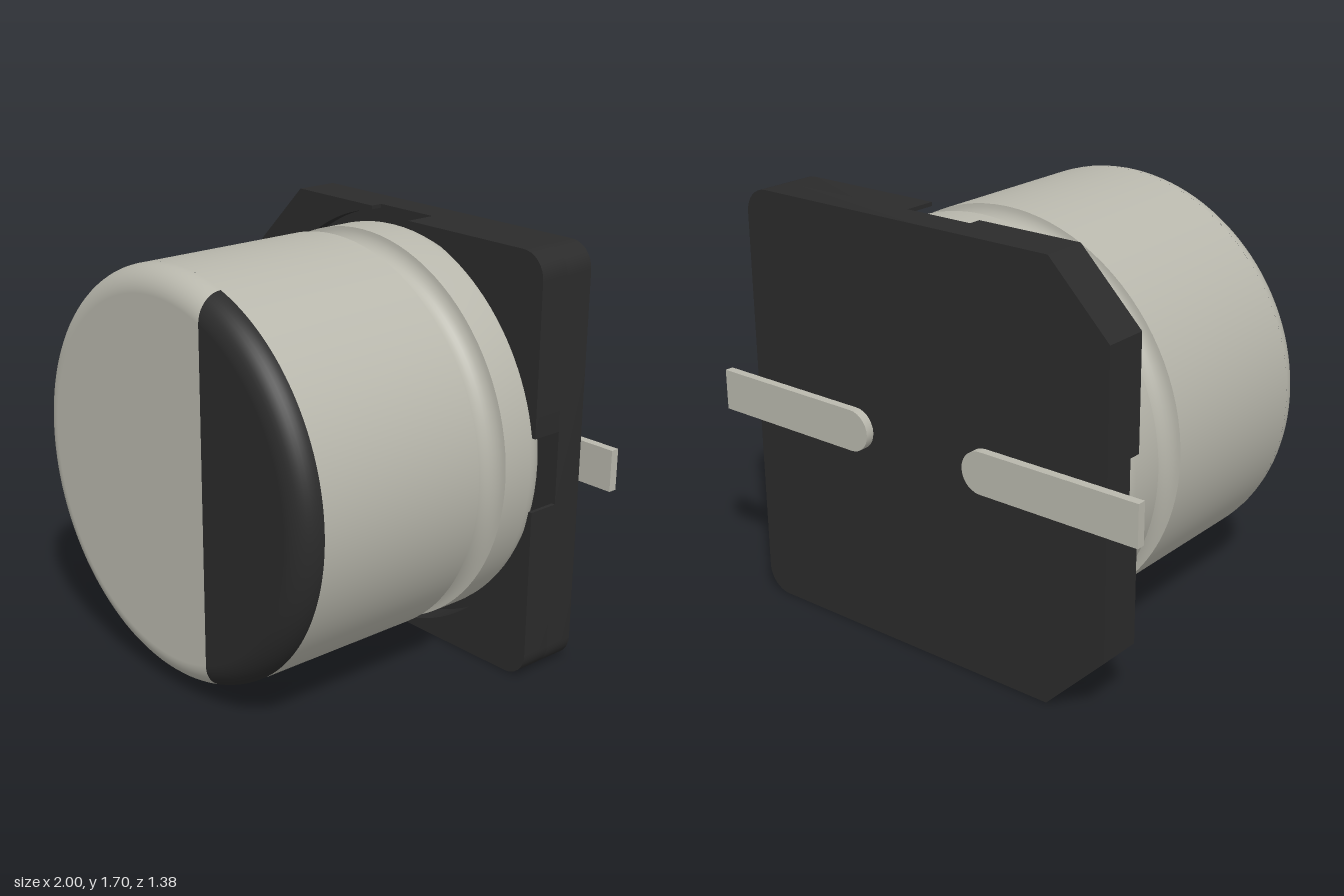
import * as THREE from 'three';
import { toCreasedNormals } from 'three/addons/utils/BufferGeometryUtils.js';

const H = 0.8475;      // half width of the square base
const R = 0.805;       // can radius
const F = 0.1;         // can edge fillet
const FRONT = 0.69;    // front face of the can
const FLOOR = -0.53;   // top of the base floor
const BACK = -0.66;    // rear of the base
const MARK = 0.25;     // where the polarity mark starts in x

const metal = new THREE.MeshStandardMaterial({ color: 0xb9b8ad });
metal.name = 'aluminium';
const dark = new THREE.MeshStandardMaterial({ color: 0x2b2b2b });
dark.name = 'black plastic';

// Points on an arc, both ends included
function arc(cx, cy, r, a0, a1, n) {
  return Array.from({ length: n + 1 }, (_, i) => {
    const a = a0 + (a1 - a0) * i / n;
    return new THREE.Vector2(cx + r * Math.cos(a), cy + r * Math.sin(a));
  });
}

function mesh(name, geometry, material) {
  const m = new THREE.Mesh(geometry, material);
  m.name = name;
  return m;
}

// Extrude an outline in xy between two z levels
function slab(points, z0, z1) {
  const g = new THREE.ExtrudeGeometry(new THREE.Shape(points), { depth: z1 - z0, bevelEnabled: false });
  g.translate(0, 0, z0);
  return toCreasedNormals(g, 0.5);
}

// Outer corner of the base in the (+,+) quadrant: chamfered left, rounded right
function corner(sx) {
  return sx < 0
    ? [new THREE.Vector2(H, 0.59), new THREE.Vector2(0.59, H)]
    : arc(H - F, H - F, F, 0, Math.PI / 2, 8);
}
const flip = (pts, sx, sy) => pts.map(p => new THREE.Vector2(p.x * sx, p.y * sy));

// Front of the can, split along x = MARK into a plain and a marked side
function capSide(marked) {
  const rows = arc(R - F, FRONT - F, F, 0, Math.PI / 2, 10).map((p, i) => ({ r: p.x, z: p.y, t: i / 10 * Math.PI / 2 }));
  for (const r of [0.6, 0.5, 0.4, 0.33, 0.28, 0.26, MARK]) rows.push({ r, z: FRONT, t: Math.PI / 2 });
  if (!marked) rows.push({ r: 0, z: FRONT, t: Math.PI / 2 });
  const cols = 72;
  const g = new THREE.PlaneGeometry(1, 1, cols, rows.length - 1);
  const pos = g.attributes.position, nor = g.attributes.normal;
  rows.forEach(({ r, z, t }, j) => {
    const a = r > MARK ? Math.acos(MARK / r) : 0;
    const [a0, a1] = marked ? [-a, a] : [a, 2 * Math.PI - a];
    for (let i = 0; i <= cols; i++) {
      const k = j * (cols + 1) + i, u = a0 + (a1 - a0) * i / cols;
      pos.setXYZ(k, r * Math.cos(u), r * Math.sin(u), z);
      nor.setXYZ(k, Math.cos(t) * Math.cos(u), Math.cos(t) * Math.sin(u), Math.sin(t));
    }
  });
  // Rows run inward, so reverse the triangles to face outward
  const ix = g.index, tri = new THREE.Vector3(), e1 = new THREE.Vector3(), e2 = new THREE.Vector3();
  const A = new THREE.Vector3(), n = new THREE.Vector3();
  for (let i = 0; i < ix.count; i += 3) {
    const [a, b, c] = [ix.getX(i), ix.getX(i + 1), ix.getX(i + 2)];
    A.fromBufferAttribute(pos, a);
    e1.fromBufferAttribute(pos, b).sub(A);
    e2.fromBufferAttribute(pos, c).sub(A);
    n.fromBufferAttribute(nor, a);
    if (tri.crossVectors(e1, e2).dot(n) < 0) { ix.setX(i + 1, c); ix.setX(i + 2, b); }
  }
  return g;
}

export function createModel() {
  const model = new THREE.Group();
  model.name = 'capacitor';

  // Can: rounded rear edge, pinched groove, straight wall
  const profile = [
    new THREE.Vector2(0, FLOOR),
    ...arc(R - F, FLOOR + F, F, -Math.PI / 2, 0, 8),
    ...arc(R, -0.225, 0.07, -Math.PI / 2, -1.5 * Math.PI, 16),
    new THREE.Vector2(R, FRONT - F),
  ];
  const can = new THREE.LatheGeometry(profile, 96);
  can.rotateX(Math.PI / 2);
  model.add(mesh('can', toCreasedNormals(can, 0.5), metal));
  model.add(mesh('canFront', capSide(false), metal));
  model.add(mesh('polarityMark', capSide(true), dark));

  // Base floor
  const outline = [
    ...flip(corner(1), 1, 1),
    ...flip(corner(-1), -1, 1).reverse(),
    ...flip(corner(-1), -1, -1),
    ...flip(corner(1), 1, -1).reverse(),
  ];
  const base = new THREE.Group();
  base.name = 'base';
  base.add(mesh('baseFloor', slab(outline, BACK, FLOOR), dark));

  // Corner walls around the can, lower on the chamfered side
  const ring = 0.845, gap = 0.147, a = Math.asin(gap / ring);
  for (const sx of [-1, 1]) for (const sy of [-1, 1]) {
    const pts = [
      new THREE.Vector2(H, gap),
      ...corner(sx),
      new THREE.Vector2(gap, H),
      ...arc(0, 0, ring, Math.PI / 2 - a, a, 24),
    ];
    base.add(mesh('cornerWall', slab(flip(pts, sx, sy), FLOOR, sx < 0 ? -0.48 : -0.4), dark));
  }
  model.add(base);

  // Flat leads with rounded inner ends
  const w = 0.0825;
  for (const s of [-1, 1]) {
    const pts = [
      new THREE.Vector2(1, -w),
      new THREE.Vector2(1, w),
      ...arc(0.232 + w, 0, w, Math.PI / 2, 1.5 * Math.PI, 14),
    ];
    model.add(mesh(s > 0 ? 'leftLead' : 'rightLead', slab(flip(pts, s, 1), -0.695, BACK), metal));
  }

  model.children.forEach(part => { part.position.y = H; });
  return model;
}
